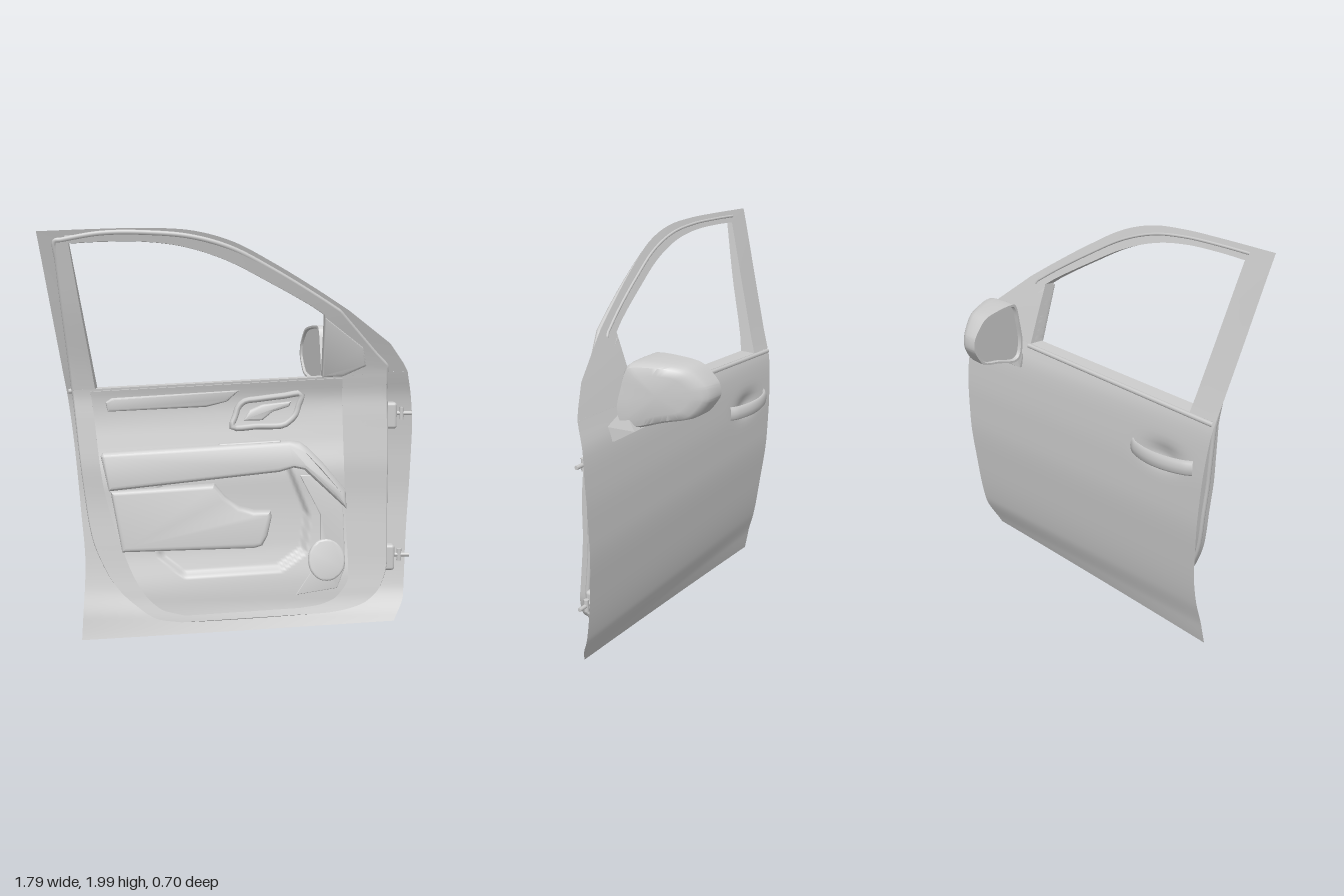
import * as THREE from 'three';
import { toCreasedNormals } from 'three/addons/utils/BufferGeometryUtils.js';
import { RoundedBoxGeometry } from 'three/addons/geometries/RoundedBoxGeometry.js';
import { ConvexGeometry } from 'three/addons/geometries/ConvexGeometry.js';

const mat = new THREE.MeshStandardMaterial({ color: 0xcccccc, side: THREE.DoubleSide });
const mix = (a, b, t) => a + (b - a) * t;
const SLOPE = 0.05; // sill and beltline both rise towards the front

// Smooth monotone interpolation through [key, value] pairs
function lut(t) {
  const d = t.slice(1).map((p, i) => (p[1] - t[i][1]) / (p[0] - t[i][0]));
  const m = t.map((_, i) => {
    if (i === 0) return d[0];
    if (i === t.length - 1) return d[i - 1];
    return d[i - 1] * d[i] <= 0 ? 0 : 2 * d[i - 1] * d[i] / (d[i - 1] + d[i]);
  });
  return k => {
    if (k <= t[0][0]) return t[0][1];
    if (k >= t[t.length - 1][0]) return t[t.length - 1][1];
    let i = 0;
    while (k > t[i + 1][0]) i++;
    const w = t[i + 1][0] - t[i][0], s = (k - t[i][0]) / w, s2 = s * s, s3 = s2 * s;
    return (2 * s3 - 3 * s2 + 1) * t[i][1] + (s3 - 2 * s2 + s) * w * m[i]
      + (3 * s2 - 2 * s3) * t[i + 1][1] + (s3 - s2) * w * m[i + 1];
  };
}

// Depth of each layer over the door's face
const profile = lut([[0, 0.16], [0.11, 0.11], [0.25, 0.05], [0.49, 0.012], [0.76, -0.012], [0.92, -0.013],
  [1.1, -0.004], [1.2, 0.008], [1.3, 0.042], [1.45, 0.095], [1.67, 0.18], [2, 0.31]]);
const tilt = lut([[0, 0.4], [0.25, 1], [1.2, 1], [2, 0.25]]);
const thickness = lut([[0, 0.12], [0.3, 0.15], [0.85, 0.15], [1.1, 0.12], [1.28, 0.08], [1.36, 0.068], [1.6, 0.058], [2, 0.025]]);
const relief = lut([[0.19, 0.065], [0.33, 0.075], [0.5, 0.06], [0.8, 0.05], [1, 0.022], [1.15, 0.01], [1.275, 0.02]]);
const skinZ = (x, y) => profile(y) + 0.048 * (0.88 - x) * tilt(y);
const outerZ = (x, y) => skinZ(x, y) + 0.03 * Math.exp(-(((x + 0.53) / 0.1) ** 2) - ((y - 1) / 0.05) ** 2);
const wallZ = (x, y) => skinZ(x, y) + 0.004;
const shellZ = (x, y) => skinZ(x, y) + thickness(y);
const trimBase = (x, y) => shellZ(x, y) + relief(y - SLOPE * x);
const RECESS = [[-0.36, 0.45], [-0.24, 0.36], [0.23, 0.385], [0.35, 0.47], [0.37, 0.65], [0.26, 0.92], [-0.36, 0.9]];
function trimZ(x, y) {
  let d = 1;
  RECESS.forEach(([ax, ay], i) => {
    const [bx, by] = RECESS[(i + 1) % RECESS.length], ex = bx - ax, ey = by - ay;
    d = Math.min(d, (ex * (y - ay) - ey * (x - ax)) / Math.hypot(ex, ey));
  });
  return trimBase(x, y) - 0.025 * THREE.MathUtils.smoothstep(d, 0, 0.02);
}

// Surface through rows of [x, y, z] points
function grid(rows) {
  const n = rows[0].length, index = [];
  for (let r = 0; r < rows.length - 1; r++) for (let c = 0; c < n - 1; c++) {
    const a = r * n + c;
    index.push(a, a + 1, a + n, a + 1, a + n + 1, a + n);
  }
  const g = new THREE.BufferGeometry();
  g.setAttribute('position', new THREE.Float32BufferAttribute(rows.flat(2), 3));
  g.setIndex(index);
  g.computeVertexNormals();
  return g;
}
const range = (n, f) => Array.from({ length: n + 1 }, (_, i) => f(i / n));
const heights = (h0, h1, n) => range(n, t => mix(h0, h1, t ** 1.5));
const at = (x, h) => [x, h + SLOPE * x];
const drape = (pts, z) => pts.map(([x, y]) => [x, y, z(x, y)]);
const curve = (pts, closed = false) =>
  new THREE.CatmullRomCurve3(pts.map(([x, y, z = 0]) => new THREE.Vector3(x, y, z)), closed);
const sheet = (L, R, h0, h1, z, nx = 60, ny = 60) => grid(heights(h0, h1, ny).map(h =>
  drape(range(nx, t => at(mix(L(h), R(h), t), h)), z)));
const rim = (L, R, h0, h1) => [...heights(h0, h1, 40).reverse().map(h => at(L(h), h)),
  ...heights(h0, h1, 40).map(h => at(R(h), h))];
// Frame edge: straight rear pillar, curved roof rail, straight front end
const straight = pts => pts.slice(1).flatMap((p, i) => range(8, t => [mix(pts[i][0], p[0], t), mix(pts[i][1], p[1], t)]).slice(1));
const frameEdge = pts => [pts[0], ...straight(pts.slice(0, 2)),
  ...curve(pts.slice(1, 9)).getPoints(56).slice(1).map(p => [p.x, p.y]), ...straight(pts.slice(8))];
const between = (a, b, t) => a.map((p, i) => [mix(p[0], b[i][0], t), mix(p[1], b[i][1], t)]);
const band = (a, b, z) => grid(range(4, t => drape(between(a, b, t), z)));
const wall = (pts, z0, z1) => {
  const loop = [...pts, pts[0]];
  return toCreasedNormals(grid([drape(loop, z0), drape(loop, z1)]), 0.7);
};
const tube = (pts, radius, closed = false) => new THREE.TubeGeometry(curve(pts, closed), pts.length * 3, radius, 8, closed);

// Bevelled slab that follows the surface below it
function pad(pts, depth, base, bevel = 0.01) {
  const shape = new THREE.Shape(pts.map(p => new THREE.Vector2(...p)));
  const g = new THREE.ExtrudeGeometry(shape, { depth: depth + 0.05 - bevel, bevelSize: bevel, bevelThickness: bevel,
    bevelOffset: -bevel, bevelSegments: 3 });
  const p = g.attributes.position;
  for (let i = 0; i < p.count; i++) p.setZ(i, p.getZ(i) - 0.05 + base(p.getX(i), p.getY(i)));
  return toCreasedNormals(g, 0.6);
}

// Door outlines: side edges by height, and frame edges paired with the window opening
const BELT = 1.285;
const skinL = lut([[0.043, -0.747], [0.4, -0.735], [0.69, -0.757], [1.04, -0.785], [BELT, -0.81]]);
const skinR = lut([[0.043, 0.804], [0.16, 0.857], [0.456, 0.872], [0.755, 0.889], [1, 0.895], [1.14, 0.884], [BELT, 0.855]]);
const shellL = lut([[0.14, -0.25], [0.16, -0.36], [0.225, -0.46], [0.31, -0.55], [0.42, -0.62], [0.56, -0.675], [0.69, -0.7], [BELT, -0.765]]);
const shellR = lut([[0.14, 0.45], [0.15, 0.55], [0.18, 0.65], [0.25, 0.72], [0.36, 0.75], [0.9, 0.75], [BELT, 0.74]]);
const trimL = lut([[0.19, -0.23], [0.225, -0.34], [0.33, -0.44], [0.495, -0.52], [0.83, -0.62], [1.275, -0.68]]);
const trimR = lut([[0.19, 0.32], [0.2, 0.42], [0.235, 0.5], [0.33, 0.555], [0.67, 0.54], [1.275, 0.525]]);
const windowEdge = frameEdge([[-0.66, 1.252], [-0.748, 1.93], [-0.6, 1.938], [-0.4, 1.938], [-0.22, 1.915], [-0.03, 1.855],
  [0.17, 1.755], [0.37, 1.645], [0.43, 1.605], [0.43, 1.5], [0.43, 1.4], [0.43, 1.307]]);
const skinFrame = frameEdge([[-0.81, 1.245], [-0.895, 1.985], [-0.6, 1.996], [-0.38, 2], [-0.18, 1.988], [0, 1.94],
  [0.2, 1.838], [0.4, 1.72], [0.55, 1.625], [0.76, 1.465], [0.83, 1.37], [0.855, 1.328]]);
const shellFrame = frameEdge([[-0.765, 1.247], [-0.81, 1.94], [-0.6, 1.975], [-0.38, 1.977], [-0.19, 1.96], [-0.01, 1.91],
  [0.19, 1.808], [0.39, 1.69], [0.5, 1.62], [0.68, 1.42], [0.74, 1.36], [0.74, 1.322]]);

export function createModel() {
  const door = new THREE.Group();
  door.name = 'carDoor';
  const add = (name, geometry, parent = door) => {
    const m = new THREE.Mesh(geometry, mat);
    m.name = name;
    parent.add(m);
    return m;
  };

  // Outer skin, window frame and its trims
  add('outerSkin', sheet(skinL, skinR, 0.043, BELT, outerZ, 80, 60));
  add('outerFrame', band(skinFrame, windowEdge, skinZ));
  add('beltMoulding', tube(drape(range(20, t => at(mix(-0.8, 0.44, t), BELT - 0.012)), skinZ), 0.012));
  add('dripRail', tube(drape(between(skinFrame, windowEdge, 0.5).slice(10, 66), skinZ), 0.007));

  // Inner shell with its side walls, window reveal and rubber seal
  add('innerShell', sheet(shellL, shellR, 0.14, BELT, shellZ));
  add('innerFrame', band(shellFrame, windowEdge, shellZ));
  const shellRim = [...rim(shellL, shellR, 0.14, BELT), ...[...shellFrame].reverse().slice(1, -1)];
  add('shellWall', wall(shellRim, wallZ, shellZ));
  add('windowReveal', wall(windowEdge, skinZ, shellZ));
  add('doorSeal', tube(drape(shellRim, (x, y) => mix(skinZ(x, y), shellZ(x, y), 0.7)), 0.012, true));
  add('mirrorSailPanel', pad([[0.43, 1.305], [0.53, 1.31], [0.64, 1.36], [0.62, 1.45], [0.43, 1.595]], 0.015, shellZ));

  // Interior trim panel
  add('trimPanel', sheet(trimL, trimR, 0.19, 1.275, trimZ, 90, 80));
  add('trimWall', wall(rim(trimL, trimR, 0.19, 1.275), shellZ, trimZ));
  add('armrest', pad([[-0.59, 0.775], [0.22, 0.86], [0.29, 0.88], [0.34, 0.87], [0.48, 0.74], [0.545, 0.68], [0.54, 0.77],
    [0.43, 0.9], [0.36, 0.97], [0.32, 0.998], [0.27, 1.005], [-0.62, 0.955], [-0.63, 0.94]], 0.048, trimBase, 0.022));
  add('doorPocket', pad([[-0.53, 0.48], [0.1, 0.493], [0.14, 0.505], [0.165, 0.55], [0.185, 0.64], [0.18, 0.67], [0.1, 0.67],
    [0.03, 0.69], [-0.04, 0.74], [-0.09, 0.8], [-0.585, 0.77]], 0.026, trimBase, 0.022));
  add('upperTrimStrip', pad([[-0.6, 1.145], [-0.13, 1.165], [-0.03, 1.19], [0.03, 1.245], [-0.58, 1.21], [-0.61, 1.19]], 0.012, trimBase));
  add('speakerSurround', pad([[0.3, 0.27], [0.5, 0.3], [0.54, 0.4], [0.53, 0.7], [0.41, 0.84], [0.32, 0.84], [0.42, 0.65], [0.42, 0.45]],
    0.006, trimBase, 0.005));
  add('speaker', pad(range(31, t => [0.45 + 0.09 * Math.cos(t * 6.08), 0.435 + 0.1 * Math.sin(t * 6.08)]), 0.014, trimBase));
  const bezel = [[-0.005, 1.07], [0.12, 1.072], [0.24, 1.076], [0.265, 1.09], [0.3, 1.125], [0.315, 1.17], [0.33, 1.225],
    [0.24, 1.217], [0.12, 1.202], [0.055, 1.192], [0.025, 1.165], [0.01, 1.12]];
  add('handleBezel', tube(drape(bezel, (x, y) => trimBase(x, y) + 0.008), 0.015, true));
  add('innerHandle', pad([[0.05, 1.1], [0.14, 1.1], [0.19, 1.14], [0.27, 1.165], [0.28, 1.19], [0.14, 1.175], [0.08, 1.15]], 0.015, trimBase));
  const switches = add('windowSwitches', new RoundedBoxGeometry(0.3, 0.02, 0.04, 2, 0.008));
  switches.position.set(0.08, 0.99, trimBase(0.08, 1) + 0.012);
  switches.rotation.z = 0.06;

  // Exterior pull handle
  const pull = add('outerHandle', tube(range(12, t => [mix(-0.72, -0.35, t), 0,
    mix(0.068, 0.052, t) - 0.052 * Math.sin(Math.PI * t) ** 0.7]), 0.014));
  pull.scale.y = 2.7;
  pull.position.y = 1;

  // Hinges
  for (const [y, z] of [[1.11, 0.05], [0.4, 0.072]]) {
    const hinge = new THREE.Group();
    hinge.name = 'hinge';
    hinge.position.set(0.77, y, z);
    door.add(hinge);
    add('hingeBlock', new RoundedBoxGeometry(0.07, 0.13, 0.06, 3, 0.015), hinge);
    const pin = add('hingePin', new THREE.CylinderGeometry(0.01, 0.01, 0.1, 10), hinge);
    pin.rotation.z = Math.PI / 2;
    pin.position.set(0.06, 0.01, 0);
    add('hingeCollar', new THREE.CylinderGeometry(0.012, 0.012, 0.06, 10), hinge).position.set(0.06, 0.01, 0);
  }

  // Wing mirror: the side outline shrinks from the glass forward to a domed nose
  const mirror = new THREE.Group();
  mirror.name = 'wingMirror';
  door.add(mirror);
  const outline = curve([[0, 1.54, -0.04], [0, 1.545, -0.07], [0, 1.54, -0.16], [0, 1.525, -0.25], [0, 1.505, -0.285],
    [0, 1.45, -0.335], [0, 1.43, -0.345], [0, 1.385, -0.35], [0, 1.36, -0.34], [0, 1.3, -0.295], [0, 1.285, -0.27],
    [0, 1.265, -0.17], [0, 1.24, -0.08], [0, 1.235, -0.04], [0, 1.25, -0.005], [0, 1.33, 0.014], [0, 1.44, -0.005],
    [0, 1.52, -0.025]], true).getPoints(72);
  const rings = [[0, 0.08], [0.9, 0.08], [0.93, 0], [1, 0], [1.005, 0.3], [0.995, 0.65], [0.96, 0.83], [0.88, 0.94], [0.65, 0.99], [0, 1]];
  add('mirrorHousing', toCreasedNormals(grid(rings.map(([s, f]) => outline.map(p => {
    const y = mix(1.4, p.y, s), z = mix(-0.16, p.z, s);
    return [0.43 + 0.22 * z + (0.25 + 0.4 * z) * f, y, z];
  }))), 0.7), mirror);
  const foot = [];
  for (const x of [0.46, 0.68]) for (const y of [1.18, 1.25]) foot.push(new THREE.Vector3(x, y, 0.035));
  for (const x of [0.45, 0.67]) foot.push(new THREE.Vector3(x, 1.185, 0.005));
  for (const x of [0.46, 0.64]) foot.push(new THREE.Vector3(x, 1.24, -0.085), new THREE.Vector3(x, 1.34, -0.03));
  add('mirrorFoot', new ConvexGeometry(foot), mirror);

  return door;
}
